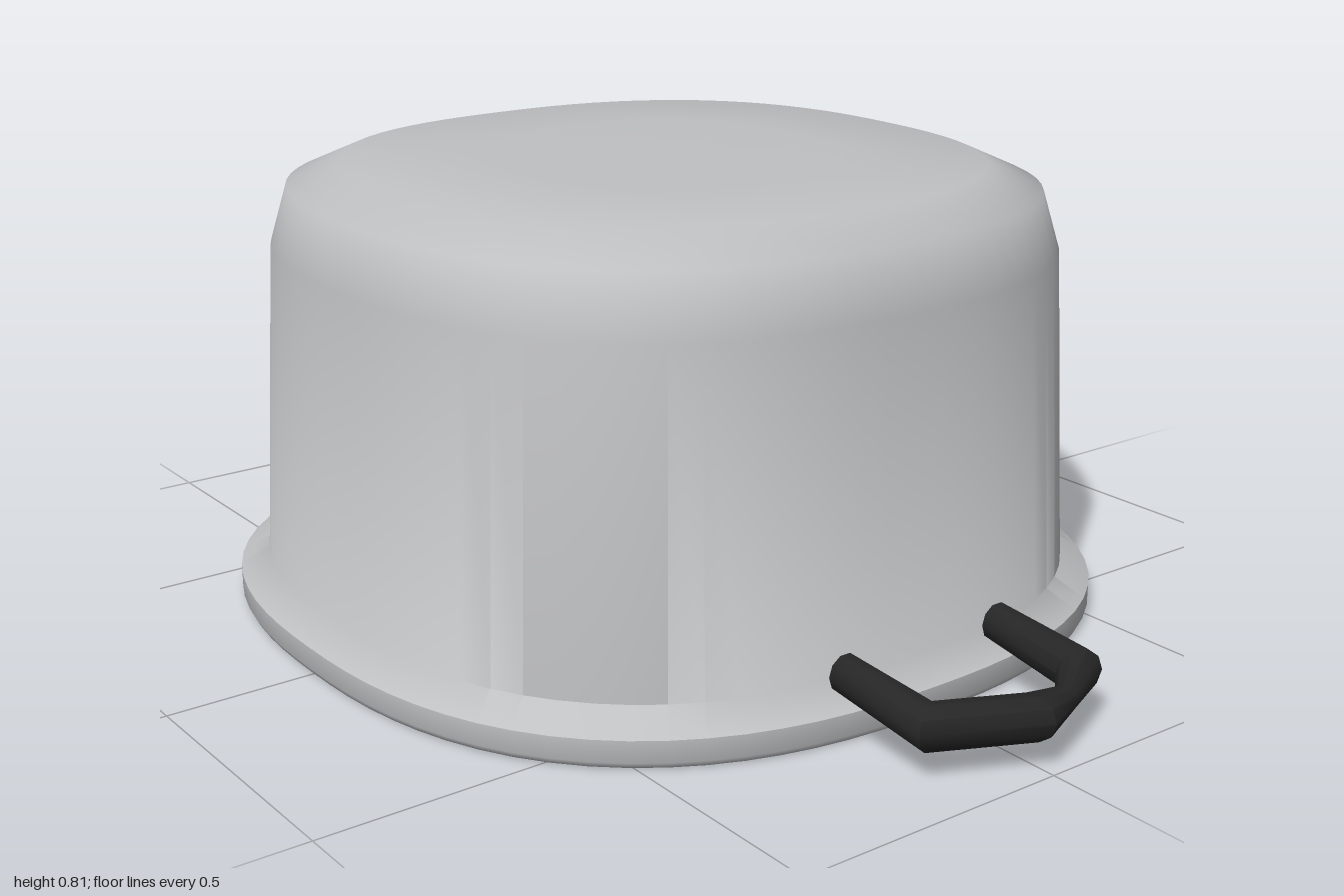
import * as THREE from 'three';
import { toCreasedNormals } from 'three/addons/utils/BufferGeometryUtils.js';

const steel = new THREE.MeshStandardMaterial({ color: 0xbfc0c2 });
steel.name = 'steel';
const black = new THREE.MeshStandardMaterial({ color: 0x262626 });
black.name = 'blackHandle';

// Upturned pot: one closed profile, inside first, then rim and outside
function potGeometry() {
  const profile = [
    [0, 0.785], [0.3, 0.782], [0.52, 0.775], [0.605, 0.74], [0.635, 0.65], [0.665, 0.085],
    [0.70, 0.03], [0.71, 0.004], [0.725, 0], [0.735, 0.002], [0.74, 0.012], [0.74, 0.05],
    [0.69, 0.085], [0.66, 0.655], [0.63, 0.76], [0.54, 0.802], [0.3, 0.806], [0, 0.81],
  ].map(([r, y]) => new THREE.Vector2(r, y));
  const g = new THREE.LatheGeometry(profile, 80);
  // Push the round plan out towards a soft square
  const p = g.attributes.position, n = 2.45;
  for (let i = 0; i < p.count; i++) {
    const x = p.getX(i), z = p.getZ(i), r = Math.hypot(x, z);
    if (r < 1e-6) continue;
    const k = Math.pow(Math.pow(Math.abs(x / r), n) + Math.pow(Math.abs(z / r), n), -1 / n);
    p.setX(i, x * k);
    p.setZ(i, z * k);
  }
  g.deleteAttribute('uv');
  return toCreasedNormals(g, 0.93);
}

// Bent grip: oval rings between an inner and an outer point
function handleGeometry() {
  // inner x, inner z, outer x, outer z, height, half thickness
  const rings = [
    [0.705, 0.135, 0.705, 0.20, 0.108, 0.033],
    [0.875, 0.13, 0.91, 0.20, 0.088, 0.04],
    [0.92, 0.02, 1.0, 0.0, 0.085, 0.04],
    [0.92, -0.08, 0.962, -0.09, 0.084, 0.02],
    [0.875, -0.13, 0.91, -0.20, 0.088, 0.04],
    [0.705, -0.135, 0.705, -0.20, 0.108, 0.033],
  ];
  const sides = 10, pos = [], index = [];
  for (const [xi, zi, xo, zo, y, h] of rings) {
    for (let k = 0; k < sides; k++) {
      const a = (k / sides) * Math.PI * 2, t = 0.5 + 0.5 * Math.cos(a);
      pos.push(xi + (xo - xi) * t, y + h * Math.sin(a), zi + (zo - zi) * t);
    }
  }
  for (let j = 0; j < rings.length - 1; j++) {
    for (let k = 0; k < sides; k++) {
      const a = j * sides + k, b = j * sides + ((k + 1) % sides);
      index.push(a, a + sides, b, b, a + sides, b + sides);
    }
  }
  // End caps
  const last = (rings.length - 1) * sides;
  for (let k = 1; k < sides - 1; k++) {
    index.push(0, k, k + 1, last, last + k + 1, last + k);
  }
  const g = new THREE.BufferGeometry();
  g.setAttribute('position', new THREE.Float32BufferAttribute(pos, 3));
  g.setIndex(index);
  return toCreasedNormals(g, 0.8);
}

export function createModel() {
  const model = new THREE.Group();
  model.name = 'upturnedPot';

  const pot = new THREE.Mesh(potGeometry(), steel);
  pot.name = 'potBody';
  model.add(pot);

  // The two grips are half a turn apart
  const grip = handleGeometry();
  ['leftHandle', 'rightHandle'].forEach((name, i) => {
    const handle = new THREE.Mesh(grip, black);
    handle.name = name;
    handle.rotation.y = i * Math.PI;
    model.add(handle);
  });
  return model;
}
